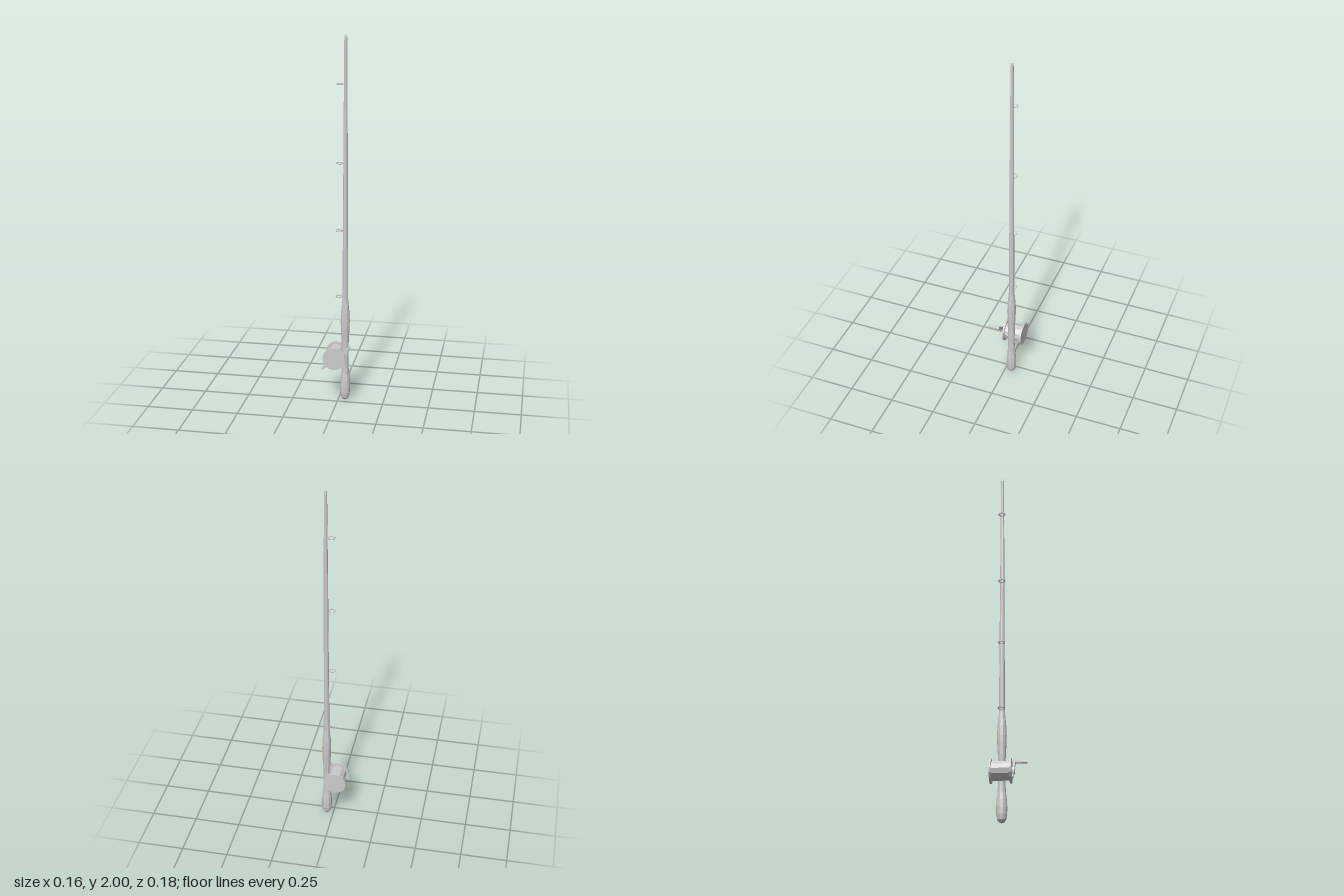
import * as THREE from 'three';

const ROD_X = 0.037, ROD_Z = -0.037;
const REEL_X = -0.017, REEL_Y = 0.255;

export function createModel() {
  const root = new THREE.Group();
  const mat = new THREE.MeshStandardMaterial({ color: 0xcccccc, flatShading: true });
  const add = (name, geo, x, y, z, parent = root) => {
    const mesh = new THREE.Mesh(geo, mat);
    mesh.name = name;
    mesh.position.set(x, y, z);
    parent.add(mesh);
    return mesh;
  };
  // Cylinder lying along z, from z0 to z1
  const disc = (name, r, z0, z1, x, y, sides, parent) =>
    add(name, new THREE.CylinderGeometry(r, r, z1 - z0, sides).rotateX(Math.PI / 2), x, y, (z0 + z1) / 2, parent);
  const lathe = (pts) => new THREE.LatheGeometry(pts.map(([r, y]) => new THREE.Vector2(r, y)), 10);

  // Butt grip, reel seat and swelling fore grip
  add('handle', lathe([
    [0, 0.003], [0.013, 0.006], [0.022, 0.018], [0.027, 0.045], [0.028, 0.08], [0.026, 0.12],
    [0.021, 0.16], [0.019, 0.21], [0.019, 0.32], [0.021, 0.37], [0.024, 0.42],
    [0.025, 0.46], [0.023, 0.51], [0.018, 0.56], [0.015, 0.59], [0, 0.59],
  ]), ROD_X, 0, ROD_Z);

  // Tapering rod
  add('rod', lathe([
    [0.016, 0.55], [0.0145, 0.8], [0.0125, 1.2], [0.0105, 1.6], [0.008, 1.985], [0.005, 2], [0, 2],
  ]), ROD_X, 0, ROD_Z);

  // Line guides
  [0.6, 0.97, 1.335, 1.75].forEach((y, i) => {
    add('lineGuide', new THREE.TorusGeometry(0.017, 0.003, 6, 10).rotateX(Math.PI / 2), 0.003 + i * 0.001, y, ROD_Z);
  });

  // Reel: drum between two flanges
  const reel = new THREE.Group();
  reel.name = 'reel';
  reel.position.set(REEL_X, REEL_Y, 0);
  root.add(reel);
  disc('drum', 0.05, -0.084, 0.009, 0, 0, 12, reel);
  disc('backFlange', 0.063, -0.093, -0.083, 0, 0, 16, reel);
  disc('frontFlange', 0.063, 0.008, 0.018, 0, 0, 16, reel);

  // Crank: tapered arm, hub and knob, tilted up towards the rod
  const crank = new THREE.Group();
  crank.name = 'crank';
  crank.rotation.z = Math.atan2(0.07, 0.08);
  reel.add(crank);
  disc('hub', 0.02, 0.017, 0.032, 0, 0, 8, crank);
  const outline = [
    [-0.084, -0.005], [-0.04, -0.01], [0, -0.016], [0.05, -0.011], [0.11, -0.009], [0.122, -0.005],
    [0.122, 0.005], [0.11, 0.009], [0.05, 0.011], [0, 0.016], [-0.04, 0.01], [-0.084, 0.005],
  ];
  const shape = new THREE.Shape(outline.map(([x, y]) => new THREE.Vector2(x, y)));
  add('arm', new THREE.ExtrudeGeometry(shape, { depth: 0.006, bevelEnabled: false }), 0, 0, 0.024, crank);
  disc('knob', 0.0078, 0.028, 0.091, 0.107, 0, 8, crank);

  return root;
}
